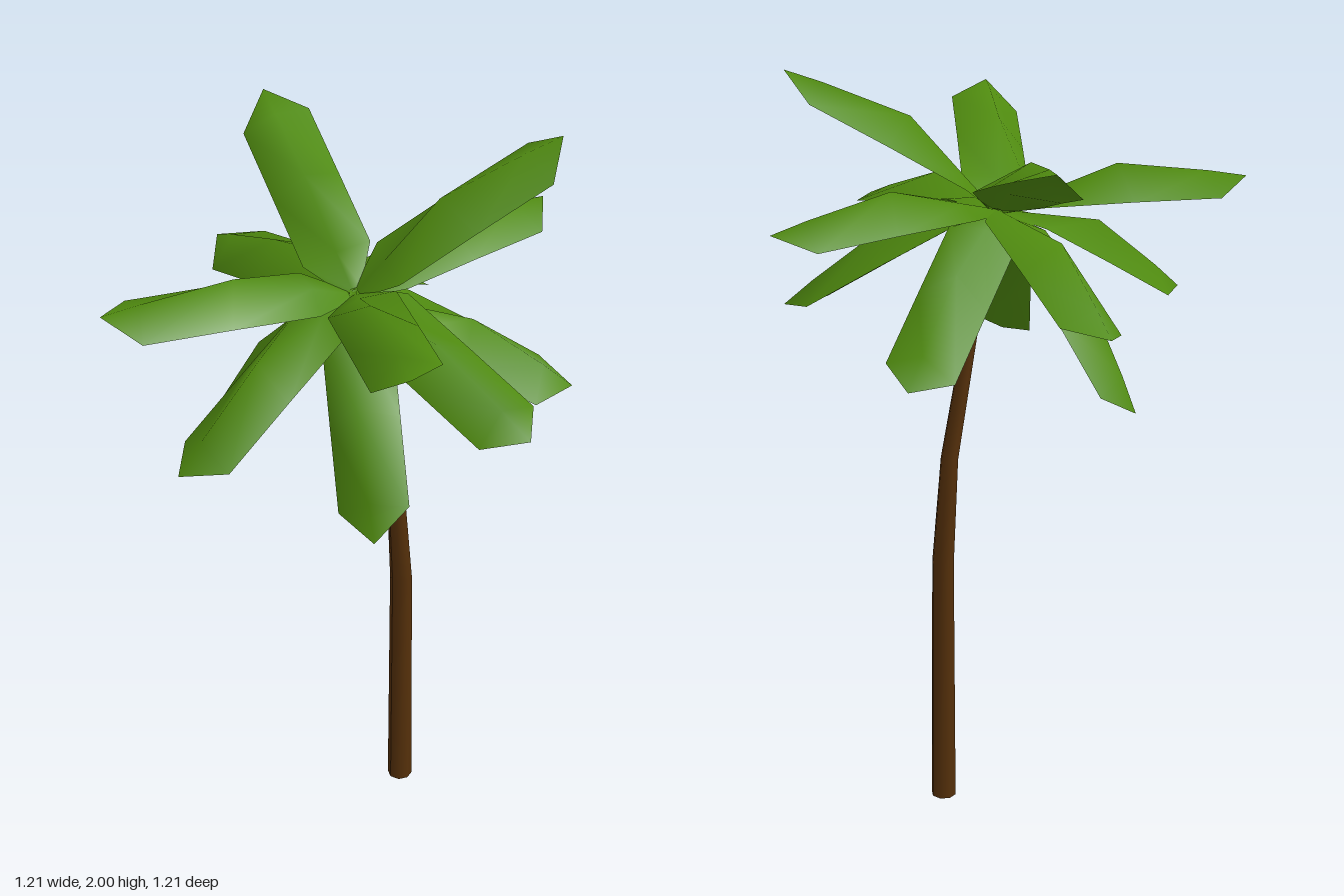
import * as THREE from 'three';

const leafGreen = new THREE.MeshStandardMaterial({ color: 0x4f8a0f, side: THREE.DoubleSide });
leafGreen.name = 'leafGreen';
const barkBrown = new THREE.MeshStandardMaterial({ color: 0x55300a });
barkBrown.name = 'barkBrown';

const deg = THREE.MathUtils.degToRad;

// One arched leaf along +x: a raised midrib with two lower edges, ending in a point
function frondGeometry() {
  // [x of section, midrib height, edge height, half width]
  const sections = [
    [0.0, -0.02, -0.025, 0.025],
    [0.1, -0.018, -0.034, 0.0886],
    [0.31, -0.012, -0.098, 0.0886],
    [0.519, -0.11, -0.165, 0.0886],
  ];
  const pos = [];
  for (const [x, rib, edge, w] of sections) pos.push(x, edge, -w, x, rib, 0, x, edge, w);
  pos.push(0.607, -0.157, 0);

  const index = [];
  for (let i = 0; i < sections.length - 1; i++) {
    for (let j = 0; j < 2; j++) {
      const a = i * 3 + j, b = a + 1, c = a + 3, d = a + 4;
      index.push(a, b, c, b, d, c);
    }
  }
  const last = (sections.length - 1) * 3, tip = last + 3;
  index.push(last, last + 1, tip, last + 1, last + 2, tip);

  const g = new THREE.BufferGeometry();
  g.setAttribute('position', new THREE.Float32BufferAttribute(pos, 3));
  g.setIndex(index);
  g.computeVertexNormals();
  return g;
}

// Ring of four equal leaves, turned and pitched together
function frondRing(name, geometry, yaw, pitch) {
  const ring = new THREE.Group();
  ring.name = name;
  for (let i = 0; i < 4; i++) {
    const frond = new THREE.Mesh(geometry, leafGreen);
    frond.name = 'frond';
    frond.rotation.set(0, deg(yaw + 90 * i), deg(pitch), 'YXZ');
    ring.add(frond);
  }
  return ring;
}

// Tapered trunk that stands straight, then leans forward to the crown
function trunkMesh() {
  // [y, z, radius] from bottom to top
  const rings = [
    [0, -0.144, 0.033],
    [0.69, -0.141, 0.029],
    [0.98, -0.12, 0.023],
    [1.3, -0.06, 0.019],
    [1.5, -0.018, 0.013],
    [1.62, 0.01, 0.01],
  ];
  const n = rings.length - 1;
  const g = new THREE.CylinderGeometry(1, 1, n, 8, n);
  const p = g.attributes.position;
  for (let i = 0; i < p.count; i++) {
    const [y, z, r] = rings[Math.round(p.getY(i) + n / 2)];
    p.setXYZ(i, 0.01 + p.getX(i) * r, y, z + p.getZ(i) * r);
  }
  g.computeVertexNormals();
  const trunk = new THREE.Mesh(g, barkBrown);
  trunk.name = 'trunk';
  return trunk;
}

export function createModel() {
  const model = new THREE.Group();
  model.name = 'palmTree';
  model.add(trunkMesh());

  // Crown tilted toward the front
  const crown = new THREE.Group();
  crown.name = 'crown';
  crown.position.set(0, 1.651, 0.018);
  crown.rotation.x = deg(16.5);
  const leaf = frondGeometry();
  crown.add(
    frondRing('upperFronds', leaf, -22.5, 33.2),
    frondRing('middleFronds', leaf, 0, 0),
    frondRing('lowerFronds', leaf, 45, -26.7),
  );
  model.add(crown);
  return model;
}
